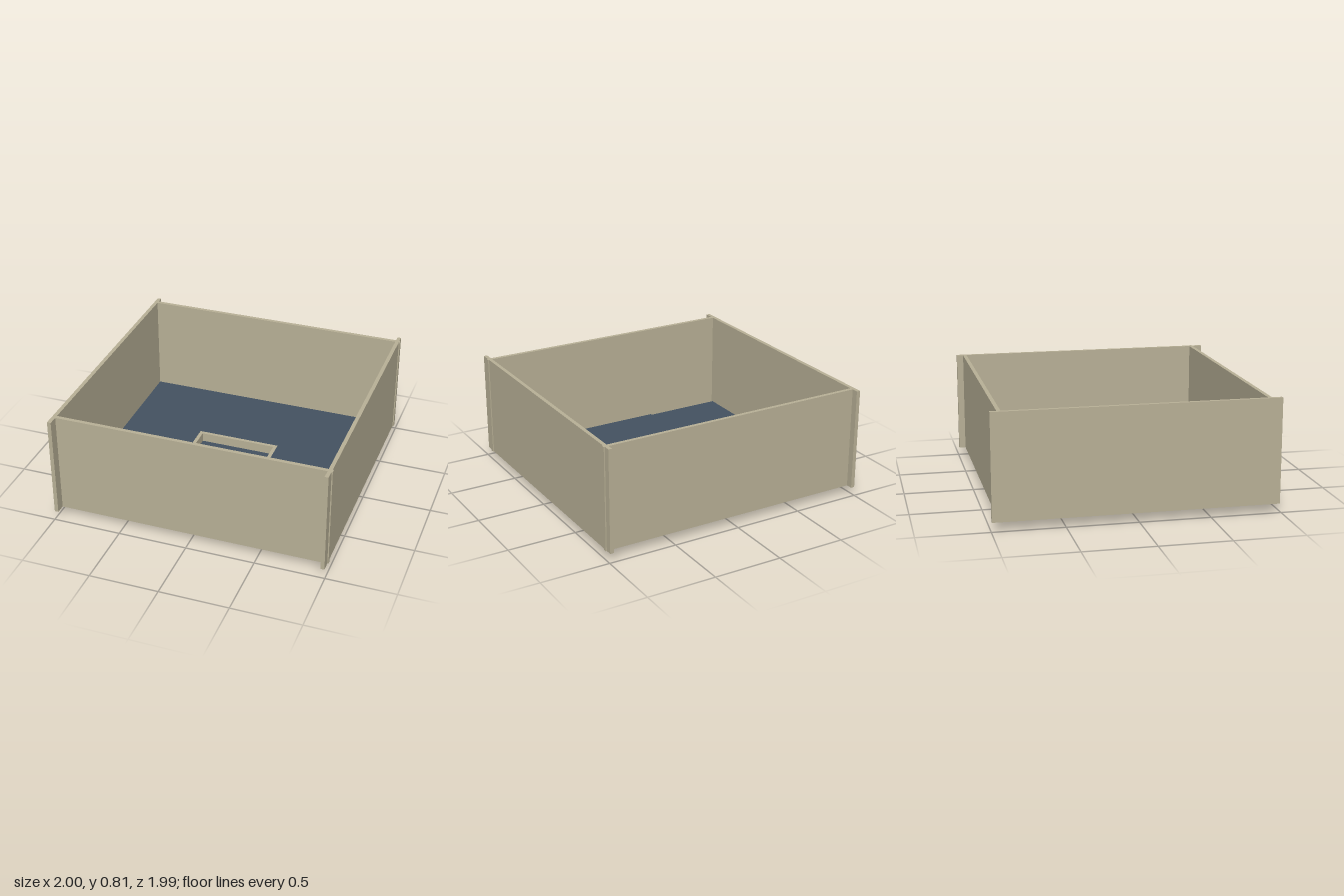
import * as THREE from 'three';

const wood = new THREE.MeshStandardMaterial({ color: 0xb8b096 });
const slate = new THREE.MeshStandardMaterial({ color: 0x445261 });
const black = new THREE.MeshStandardMaterial({ color: 0x111111 });

export function createModel() {
  const model = new THREE.Group();

  // Board given by its extents along x, y and z
  const board = (name, material, [x0, x1], [y0, y1], [z0, z1]) => {
    const mesh = new THREE.Mesh(new THREE.BoxGeometry(x1 - x0, y1 - y0, z1 - z0), material);
    mesh.position.set((x0 + x1) / 2, (y0 + y1) / 2, (z0 + z1) / 2);
    mesh.name = name;
    model.add(mesh);
  };

  // Outer walls: side boards run past the front and back boards,
  // whose ends poke slightly through the +x side
  const wallY = [0.065, 0.81];
  board('rightWall', wood, [-1, -0.972], wallY, [-0.995, 0.99]);
  board('leftWall', wood, [0.965, 0.992], wallY, [-0.995, 0.99]);
  board('frontWall', wood, [-0.975, 1], wallY, [0.892, 0.92]);
  board('backWall', wood, [-0.975, 1], wallY, [-0.947, -0.92]);

  // Floor panels around the square opening; the -x panel stops short at the front
  const floorY = [0.07, 0.085];
  board('floorRight', slate, [-0.972, -0.388], floorY, [-0.92, 0.877]);
  board('floorLeft', slate, [0.24, 0.965], floorY, [-0.92, 0.892]);
  board('floorFront', slate, [-0.388, 0.24], floorY, [0.307, 0.892]);
  board('floorBack', slate, [-0.388, 0.24], floorY, [-0.92, -0.318]);

  // Sunken tray in the opening
  const trayY = [0.018, 0.086];
  board('trayBackWall', wood, [-0.387, 0.24], trayY, [-0.318, -0.292]);
  board('trayFrontWall', wood, [-0.376, 0.228], trayY, [0.28, 0.307]);
  board('trayRightWall', wood, [-0.387, -0.36], trayY, [-0.292, 0.28]);
  board('trayLeftWall', wood, [0.213, 0.24], trayY, [-0.292, 0.28]);
  board('trayFloor', slate, [-0.374, 0.226], [0, 0.018], [-0.302, 0.3]);

  // Round puck standing on the floor
  const puck = new THREE.Mesh(new THREE.CylinderGeometry(0.15, 0.15, 0.075, 48), black);
  puck.position.set(0.51, 0.1225, 0.485);
  puck.name = 'puck';
  model.add(puck);

  return model;
}
